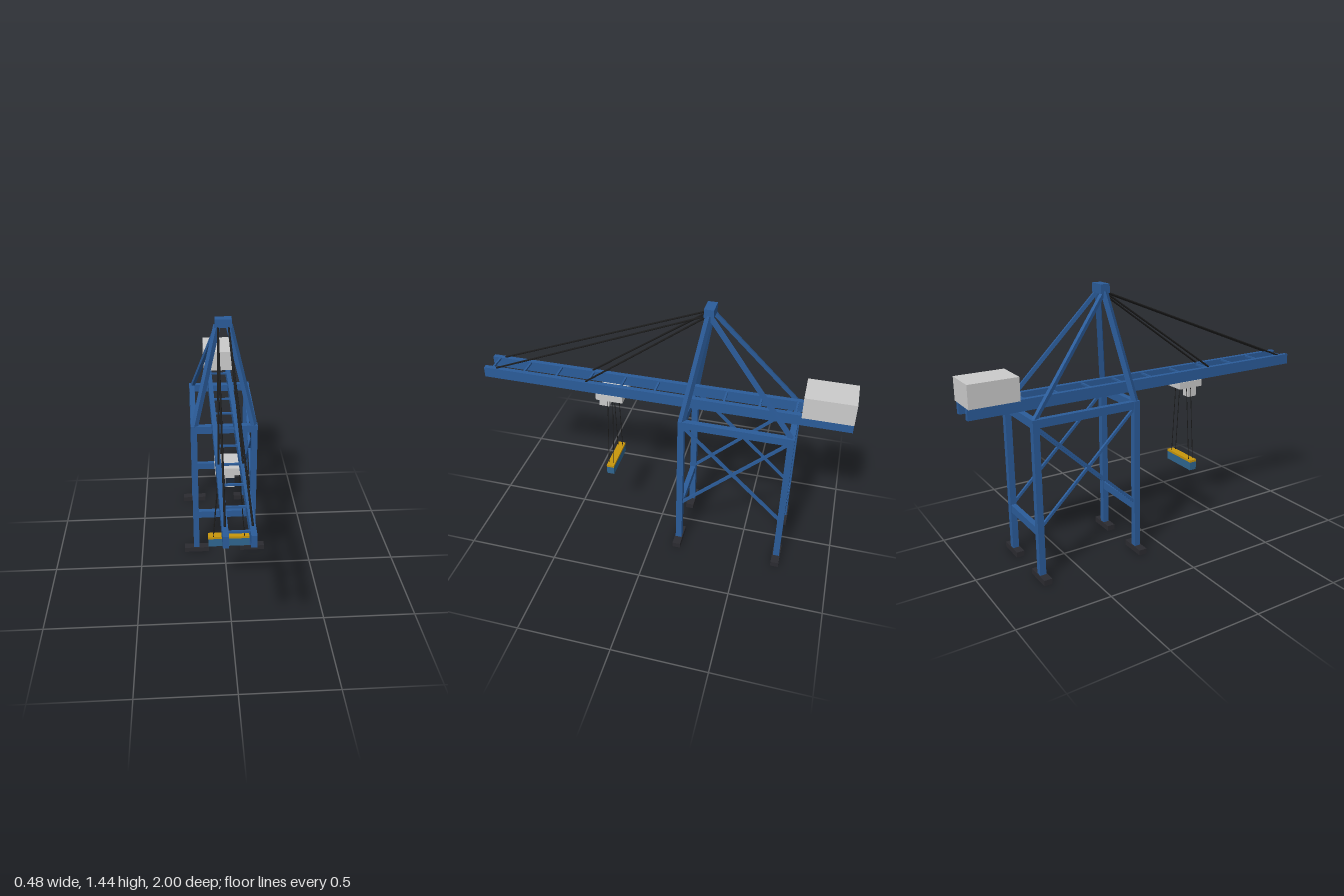
import * as THREE from 'three';

const mat = (color) => new THREE.MeshStandardMaterial({ color });

export function createModel() {
  const crane = new THREE.Group();
  crane.name = 'gantryCrane';
  const blue = mat(0x2b5c9a), dark = mat(0x2b2b30), grey = mat(0xcccccc);
  const yellow = mat(0xc8960c), teal = mat(0x2f6690), black = mat(0x1c1c1c), glass = mat(0x1e2a3a);

  // Box given by its extents on each axis
  function box(name, material, [x0, x1], [y0, y1], [z0, z1]) {
    const mesh = new THREE.Mesh(new THREE.BoxGeometry(x1 - x0, y1 - y0, z1 - z0), material);
    mesh.position.set((x0 + x1) / 2, (y0 + y1) / 2, (z0 + z1) / 2);
    mesh.name = name;
    crane.add(mesh);
  }

  // Square bar or round rope between two points
  function strut(name, material, from, to, size, round = false) {
    const a = new THREE.Vector3(...from), b = new THREE.Vector3(...to);
    const length = a.distanceTo(b);
    const geometry = round
      ? new THREE.CylinderGeometry(size / 2, size / 2, length, 8).rotateX(Math.PI / 2)
      : new THREE.BoxGeometry(size, size, length);
    const mesh = new THREE.Mesh(geometry, material);
    mesh.position.copy(a).add(b).multiplyScalar(0.5);
    mesh.lookAt(b);
    mesh.name = name;
    crane.add(mesh);
  }

  const around = (c, half) => [c - half, c + half];
  const legX = 0.169, frontZ = -0.147, rearZ = -0.711, half = 0.017;
  const apexY = 1.4, apexZ = -0.242;

  // Portal: legs, feet and cross beams
  for (const z of [frontZ, rearZ]) {
    for (const s of [-1, 1]) {
      box('leg', blue, around(s * legX, half), [0.03, 0.853], around(z, half));
      box('foot', dark, around(s * legX, 0.073), [0, 0.03], around(z, 0.022));
    }
    box('upperCrossBeam', blue, [-legX, legX], [0.808, 0.852], around(z, 0.016));
    box('lowerCrossBeam', blue, [-legX, legX], [0.243, 0.286], around(z, 0.014));
  }

  for (const s of [-1, 1]) {
    const x = s * legX, girderX = s * 0.059;
    // Side beams and cross bracing
    box('sideBeam', blue, around(x, 0.015), [0.81, 0.852], [rearZ, frontZ]);
    strut('sideBrace', blue, [x, 0.82, frontZ], [x, 0.28, rearZ], 0.014);
    strut('sideBrace', blue, [x, 0.28, frontZ], [x, 0.82, rearZ], 0.014);
    // Tower frame
    strut('towerLeg', blue, [s * 0.165, 0.845, frontZ], [s * 0.032, apexY, apexZ], 0.028);
    strut('backStay', blue, [s * 0.165, 0.845, rearZ], [s * 0.03, apexY, apexZ], 0.02);
    // Boom girder and its stays
    box('boomGirder', blue, around(girderX, 0.013), [0.869, 0.928], [-1, 1]);
    for (const z of [0.93, 0.41])
      strut('boomStay', black, [s * 0.028, apexY, apexZ], [girderX, 0.928, z], 0.01, true);
    // Hoist ropes
    for (const z of [0.265, 0.293])
      strut('hoistRope', black, [s * 0.05, 0.835, z], [s * 0.083, 0.41, z], 0.004, true);
  }
  box('towerHead', blue, [-0.045, 0.045], [1.39, 1.437], around(apexZ, 0.025));

  // Ties between the girders
  for (let i = 0; i < 11; i++)
    box('boomTie', blue, [-0.05, 0.05], [0.916, 0.926], around(0.957 - i * 0.1852, 0.005));

  box('machineryHouse', grey, [-0.092, 0.092], [0.928, 1.048], [-1, -0.742]);

  // Trolley with the operator cab
  box('trolley', grey, [-0.073, 0.073], [0.83, 0.868], [0.203, 0.353]);
  box('cab', grey, [-0.023, 0.023], [0.76, 0.83], [0.297, 0.352]);
  box('cabWindow', glass, [-0.022, 0.022], [0.78, 0.813], [0.35, 0.354]);

  // Spreader and load
  box('spreader', yellow, [-0.112, 0.112], [0.4, 0.413], around(0.277, 0.021));
  box('load', teal, [-0.11, 0.11], [0.353, 0.4], around(0.277, 0.021));

  return crane;
}
